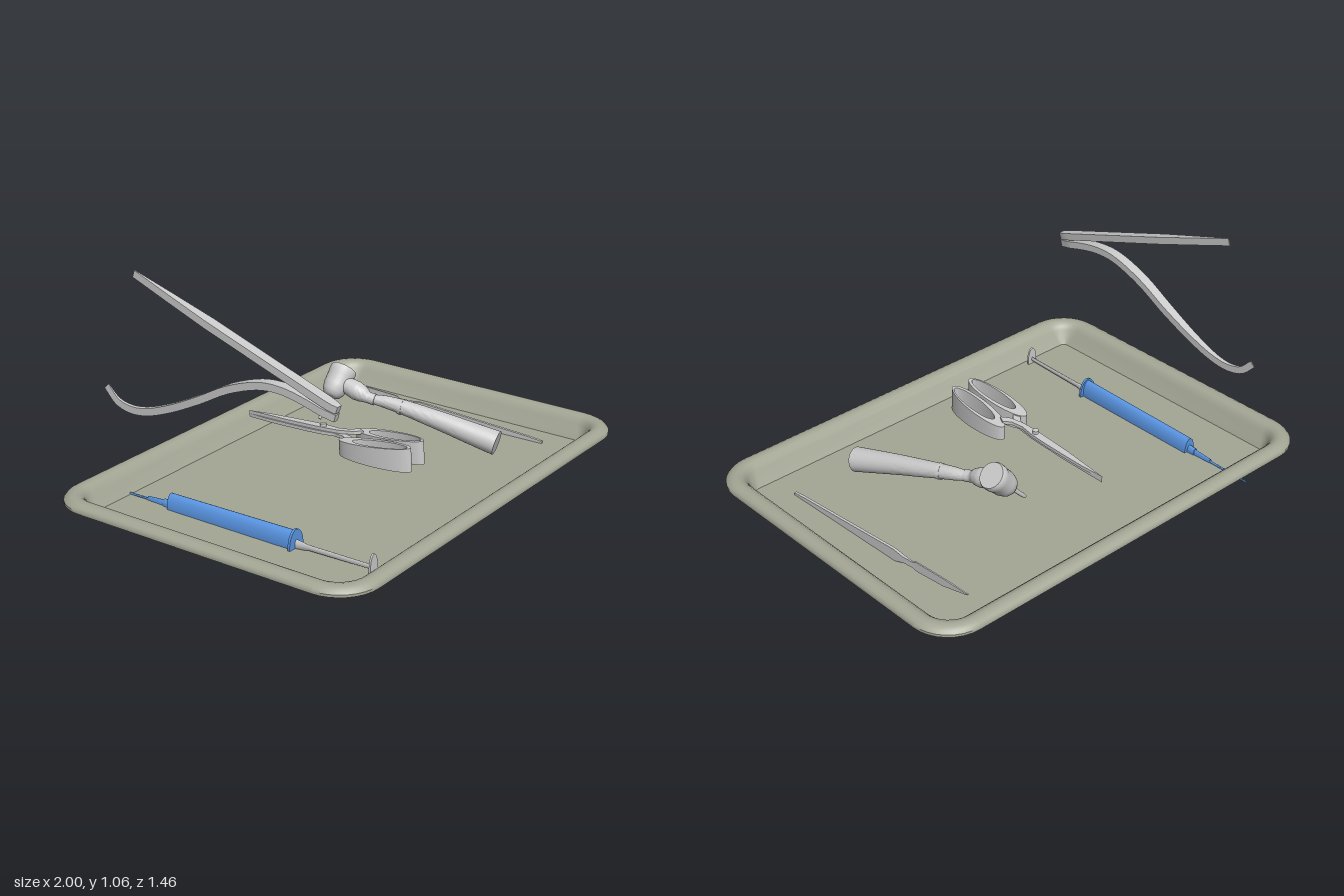
import * as THREE from 'three';
import { toCreasedNormals } from 'three/addons/utils/BufferGeometryUtils.js';

const metal = new THREE.MeshStandardMaterial({ color: 0xcccccc });
const enamel = new THREE.MeshStandardMaterial({ color: 0xa4a695, side: THREE.DoubleSide });
const blue = new THREE.MeshStandardMaterial({ color: 0x5a96e4 });

function part(name, geometry, material = metal) {
  const mesh = new THREE.Mesh(geometry, material);
  mesh.name = name;
  return mesh;
}

// Skin over rings of equal length; the end is capped, the start may stay open
function loft(rings, openStart = false) {
  const n = rings[0].length, last = rings.length - 1, pos = [], index = [];
  rings.forEach(r => r.forEach(p => pos.push(p.x, p.y, p.z)));
  for (let i = 0; i < last; i++) {
    for (let j = 0; j < n; j++) {
      const a = i * n + j, b = i * n + (j + 1) % n;
      index.push(a, b, b + n, a, b + n, a + n);
    }
  }
  (openStart ? [last] : [0, last]).forEach(r => {
    const c = rings[r].reduce((s, p) => s.add(p), new THREE.Vector3()).divideScalar(n);
    const k = pos.length / 3;
    pos.push(c.x, c.y, c.z);
    for (let j = 0; j < n; j++) {
      const a = r * n + j, b = r * n + (j + 1) % n;
      if (r) index.push(k, a, b); else index.push(k, b, a);
    }
  });
  const g = new THREE.BufferGeometry();
  g.setAttribute('position', new THREE.Float32BufferAttribute(pos, 3));
  g.setIndex(index);
  return toCreasedNormals(g, 0.65);
}

// Sweep along stations [x, y, z, halfWidth, halfHeight]; 4 sides give a flat bar
function sweep(stations, sides = 24, steps = 0) {
  let pts = stations.map(s => new THREE.Vector3(s[0], s[1], s[2]));
  let size = stations.map(s => [s[3], s[4] ?? s[3]]);
  if (steps) {
    const curve = new THREE.CatmullRomCurve3(pts), last = size.length - 1, old = size;
    pts = curve.getPoints(steps);
    size = pts.map((_, i) => {
      const f = i / steps * last, k = Math.min(Math.floor(f), last - 1);
      return [0, 1].map(c => THREE.MathUtils.lerp(old[k][c], old[k + 1][c], f - k));
    });
  }
  const up = new THREE.Vector3(0, 1, 0), bar = sides === 4;
  return loft(pts.map((p, i) => {
    const d = pts[Math.min(i + 1, pts.length - 1)].clone().sub(pts[Math.max(i - 1, 0)]).normalize();
    const u = up.clone().cross(d).normalize(), v = d.clone().cross(u);
    return Array.from({ length: sides }, (_, j) => {
      const a = (j + (bar ? 0.5 : 0)) / sides * Math.PI * 2, k = bar ? Math.SQRT2 : 1;
      return p.clone().addScaledVector(u, Math.cos(a) * k * size[i][0])
        .addScaledVector(v, Math.sin(a) * k * size[i][1]);
    });
  }));
}

// Rounded rectangle ring around the y axis
function trayRing([inset, y, r]) {
  const hx = 1 - inset - r, hz = 0.73 - inset - r, ring = [];
  [[1, 1], [1, -1], [-1, -1], [-1, 1]].forEach(([sx, sz], q) => {
    for (let i = 0; i <= 8; i++) {
      const a = (q + i / 8) * Math.PI / 2;
      ring.push(new THREE.Vector3(sx * hx + Math.sin(a) * r, y, sz * hz + Math.cos(a) * r - 0.004));
    }
  });
  return ring;
}

function createTray() {
  // Pressed sheet as inset, height, corner radius: lip, rolled rim, wall, floor
  return part('tray', loft([
    [0, 0.125, 0.17], [0, 0.136, 0.17], [0.008, 0.147, 0.165], [0.022, 0.155, 0.155],
    [0.042, 0.159, 0.135], [0.062, 0.154, 0.115], [0.077, 0.141, 0.1], [0.088, 0.124, 0.085],
    [0.106, 0.095, 0.055], [0.126, 0.067, 0.025],
  ].map(trayRing), true), enamel);
}

function createTweezers() {
  const g = new THREE.Group();
  g.name = 'tweezers';
  const x = -0.738, t = 0.015;
  const arm = path => path.map(([z, y, w]) => [x, y, z, w, t]);
  g.add(part('straightArm', sweep(arm([
    [0.485, 0.718, 0.012], [0.465, 0.725, 0.019], [0.43, 0.737, 0.022],
    [-0.1, 0.921, 0.022], [-0.28, 0.983, 0.013], [-0.46, 1.045, 0.002],
  ]), 4)));
  g.add(part('curvedArm', sweep(arm([
    [0.477, 0.686, 0.012], [0.42, 0.702, 0.022], [0.35, 0.722, 0.022], [0.25, 0.741, 0.022],
    [0.15, 0.738, 0.022], [0, 0.69, 0.022], [-0.15, 0.611, 0.021], [-0.3, 0.54, 0.016],
    [-0.42, 0.498, 0.011], [-0.5, 0.489, 0.008], [-0.57, 0.506, 0.005], [-0.625, 0.557, 0.002],
  ]), 4, 48)));
  return g;
}

function createSyringe() {
  const g = new THREE.Group();
  g.name = 'syringe';
  const x = -0.647;
  const along = list => sweep(list.map(([z, y, rx, ry]) => [x, y, z, rx, ry]));
  g.add(part('barrel', along([[0.215, 0.077, 0.028, 0.06], [-0.395, 0.065, 0.028, 0.063]]), blue));
  g.add(part('fingerFlange', along([[0.223, 0.075, 0.043, 0.069], [0.213, 0.075, 0.043, 0.069]]), blue));
  g.add(part('needleHub', along([
    [-0.39, 0.07, 0.014, 0.026], [-0.43, 0.07, 0.013, 0.024],
    [-0.43, 0.07, 0.009, 0.019], [-0.515, 0.071, 0.006, 0.012],
  ]), blue));
  g.add(part('needle', along([[-0.5, 0.071, 0.005, 0.005], [-0.712, 0.068, 0.004, 0.004]]), blue));
  g.add(part('plungerRod', along([
    [0.575, 0.088, 0.004, 0.01], [0.28, 0.083, 0.005, 0.012], [0.22, 0.08, 0.011, 0.022],
  ])));
  g.add(part('thumbPlate', along([[0.579, 0.086, 0.024, 0.058], [0.571, 0.086, 0.024, 0.058]])));
  return g;
}

// Flat plate lying in the xz plane
function plate(shape, depth, y) {
  return new THREE.ExtrudeGeometry(shape, { depth, bevelEnabled: false, curveSegments: 24 })
    .rotateX(-Math.PI / 2).translate(0, y, 0);
}

// Finger loop that grows deeper towards its free end
function fingerLoop(s) {
  const loop = new THREE.Shape().absellipse(s * 0.053, -0.195, 0.045, 0.167, 0, Math.PI * 2, false, -s * 0.05);
  loop.holes.push(new THREE.Path().absellipse(s * 0.054, -0.22, 0.032, 0.127, 0, Math.PI * 2, true, -s * 0.04));
  const g = plate(loop, 1, 0), p = g.attributes.position;
  for (let i = 0; i < p.count; i++) {
    const z = p.getZ(i);
    p.setY(i, p.getY(i) > 0.5 ? 0.002 + 0.052 * z : -0.059 - 0.055 * z);
  }
  return toCreasedNormals(g, 0.6);
}

function createScissors() {
  const g = new THREE.Group();
  g.name = 'scissors';
  const half = [[0, -0.48], [0.012, -0.38], [0.018, -0.27], [0.022, -0.16], [0.021, -0.09], [0.014, -0.03],
    [0.024, 0.02], [0.05, 0.05], [0.035, 0.08], [0.01, 0.05], [-0.008, -0.01], [-0.014, -0.09], [-0.012, -0.27]];
  [1, -1].forEach(s => {
    const side = s > 0 ? 'left' : 'right';
    const blade = new THREE.Shape(half.map(([x, z]) => new THREE.Vector2(s * x, -z)));
    g.add(part(side + 'Blade', plate(blade, 0.014, s > 0 ? 0 : -0.014)));
    g.add(part(side + 'FingerLoop', fingerLoop(s)));
  });
  const pivot = part('pivotScrew', new THREE.CylinderGeometry(0.013, 0.013, 0.042, 20));
  pivot.position.set(0, 0.006, -0.095);
  g.add(pivot);
  g.position.set(-0.042, 0.272, 0);
  g.rotation.x = -0.055;
  return g;
}

function createDrill() {
  const g = new THREE.Group();
  g.name = 'dentalDrill';
  g.add(part('handle', sweep([
    [0.492, 0.145, 0.405, 0.052], [0.465, 0.172, 0.3, 0.047], [0.44, 0.198, 0.2, 0.042],
    [0.416, 0.222, 0.1, 0.037], [0.393, 0.243, 0.01, 0.032], [0.37, 0.258, -0.07, 0.027],
    [0.35, 0.265, -0.125, 0.02],
  ], 28, 36)));
  g.add(part('collar', sweep([[0.39, 0.244, 0, 0.034], [0.386, 0.246, -0.014, 0.033]], 28)));
  g.add(part('neck', sweep([
    [0.352, 0.264, -0.115, 0.025], [0.344, 0.27, -0.145, 0.024], [0.34, 0.28, -0.17, 0.035],
    [0.338, 0.29, -0.2, 0.041], [0.335, 0.3, -0.23, 0.038], [0.328, 0.315, -0.28, 0.032],
  ], 28, 24)));
  // Head and bur share one tilted axis
  const top = new THREE.Vector3(0.372, 0.362, -0.288);
  const axis = new THREE.Vector3(-0.173, -0.18, -0.008).normalize();
  const onAxis = list => sweep(list.map(([d, r]) => [...top.clone().addScaledVector(axis, d).toArray(), r]), 28);
  g.add(part('head', onAxis([[0, 0.054], [0.008, 0.058], [0.035, 0.058], [0.04, 0.056], [0.085, 0.054],
    [0.115, 0.047], [0.132, 0.036], [0.14, 0.022]])));
  g.add(part('bur', onAxis([[0.13, 0.011], [0.2, 0.009], [0.225, 0.009], [0.247, 0.006]])));
  return g;
}

function createScalpel() {
  // z, centre height, half height: handle, neck, blade
  const profile = [[0.468, 0.072, 0.005], [0.4, 0.058, 0.026], [0.1, 0.076, 0.027], [-0.14, 0.092, 0.027],
    [-0.2, 0.098, 0.014], [-0.25, 0.1, 0.013], [-0.27, 0.102, 0.021], [-0.42, 0.112, 0.018], [-0.555, 0.128, 0.002]];
  return part('scalpel', sweep(profile.map(([z, y, h]) =>
    [0.748 + z * 0.032, y, z, z < -0.22 ? 0.003 : 0.006, h]), 4));
}

export function createModel() {
  const model = new THREE.Group();
  model.name = 'instrumentTray';
  model.add(createTray(), createTweezers(), createSyringe(), createScissors(), createDrill(), createScalpel());
  return model;
}
